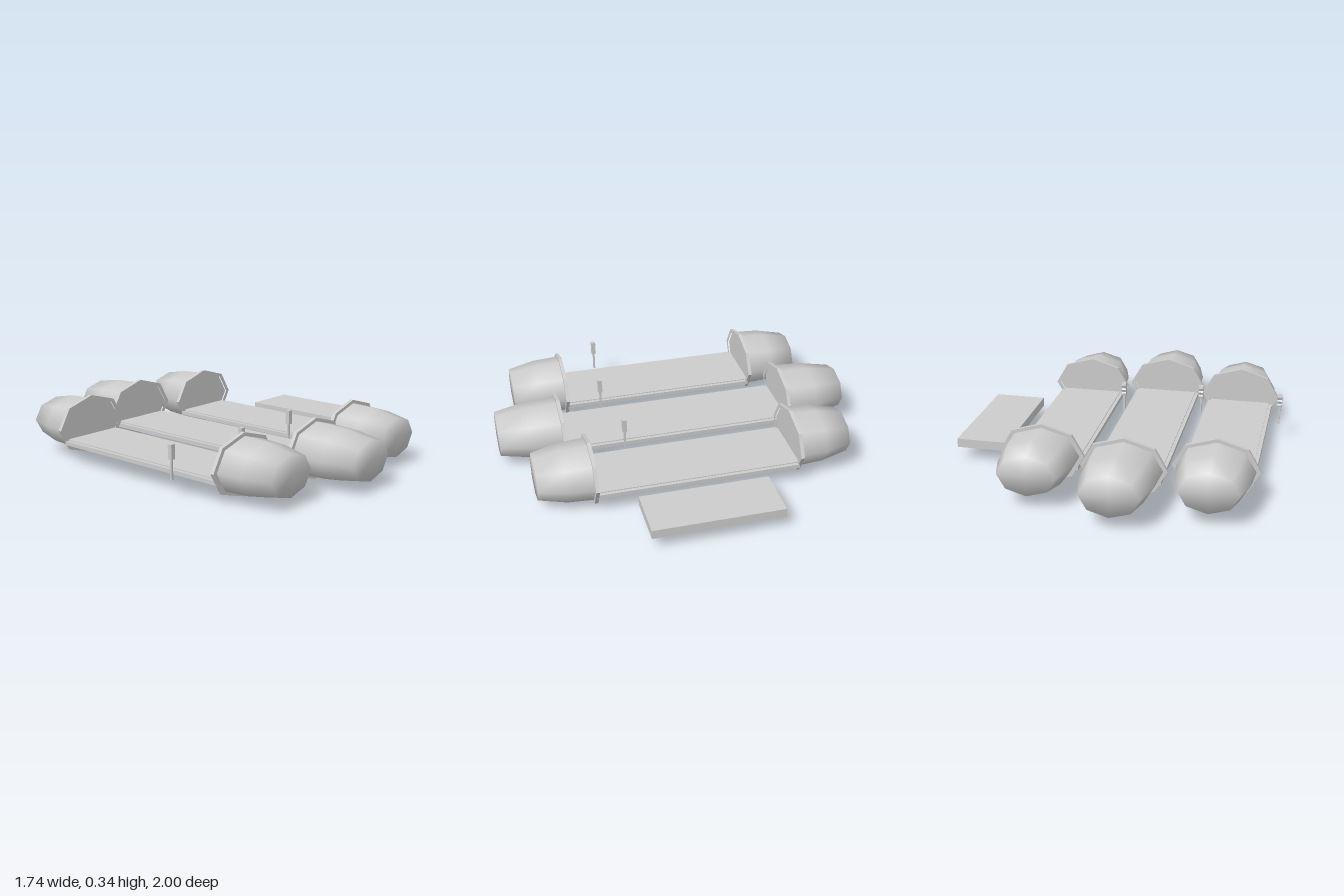
import * as THREE from 'three';

const grey = new THREE.MeshStandardMaterial({ color: 0xcccccc });
grey.name = 'plain grey';
const greyOpen = grey;

function add(parent, name, geometry, x = 0, y = 0, z = 0) {
  const mesh = new THREE.Mesh(geometry, grey);
  mesh.name = name;
  mesh.position.set(x, y, z);
  parent.add(mesh);
  return mesh;
}

function octagon(rx, ry, PathType) {
  const points = [];
  for (let i = 0; i < 8; i++) {
    const a = (i * Math.PI) / 4;
    points.push(new THREE.Vector2(Math.sin(a) * rx, Math.cos(a) * ry));
  }
  return new PathType(points);
}

// Domed end pod, opening at local z = 0 and pointing along +z
function makePod(length) {
  const pod = new THREE.Group();
  const profile = [[0.205, 0.012], [0.195, length * 0.52], [0.154, length], [0, length]]
    .map(([r, h]) => new THREE.Vector2(r, h));
  const shell = new THREE.LatheGeometry(profile, 8);
  shell.rotateX(Math.PI / 2);
  shell.scale(1, 0.71, 1);
  add(pod, 'podShell', shell);

  // Octagonal collar with a slightly recessed inner panel
  const ring = octagon(0.228, 0.164, THREE.Shape);
  ring.holes.push(octagon(0.203, 0.143, THREE.Path));
  add(pod, 'podCollar', new THREE.ExtrudeGeometry(ring, { depth: 0.02, bevelEnabled: false }));
  const panel = new THREE.ExtrudeGeometry(octagon(0.204, 0.144, THREE.Shape), { depth: 0.006, bevelEnabled: false });
  add(pod, 'podInnerPanel', panel, 0, 0, 0.009);
  return pod;
}

// Flat deck with stepped long edges and a pod at each end
function makeBay(halfLength, podLength) {
  const bay = new THREE.Group();
  const deckLength = halfLength * 2 + 0.018;
  add(bay, 'deck', new THREE.BoxGeometry(0.345, 0.032, deckLength), 0, 0.11, 0);
  add(bay, 'deckEdge', new THREE.BoxGeometry(0.385, 0.022, deckLength), 0, 0.11, 0);
  const front = makePod(podLength);
  front.name = 'frontPod';
  front.position.set(0, 0.166, halfLength);
  const back = makePod(podLength);
  back.name = 'backPod';
  back.rotation.y = Math.PI;
  back.position.set(0, 0.183, -halfLength);
  bay.add(front, back);
  return bay;
}

// Thin post with a small head notched on its back side
function makePost() {
  const post = new THREE.Group();
  add(post, 'postStem', new THREE.BoxGeometry(0.011, 0.12, 0.011), 0, 0.155, 0);
  const side = new THREE.Shape([
    [-0.013, 0.2], [0.010, 0.2], [0.013, 0.215], [0.006, 0.222], [0.013, 0.238],
    [0.006, 0.246], [0.013, 0.262], [0.010, 0.277], [-0.013, 0.277],
  ].map(([u, v]) => new THREE.Vector2(u, v)));
  const head = new THREE.ExtrudeGeometry(side, { depth: 0.026, bevelEnabled: false });
  head.translate(0, 0, -0.013);
  head.rotateY(Math.PI / 2);
  add(post, 'postHead', head);
  return post;
}

export function createModel() {
  const model = new THREE.Group();
  model.name = 'podBays';

  // Three parallel bays, the middle one longer
  [[-0.604, 0.55, 0.31], [-0.143, 0.64, 0.36], [0.314, 0.55, 0.31]].forEach(([x, half, pod], i) => {
    const bay = makeBay(half, pod);
    bay.name = ['rightBay', 'middleBay', 'leftBay'][i];
    bay.position.x = x;
    model.add(bay);
  });

  // Control posts beside each bay
  [[-0.856, 0.316], [-0.392, 0.365], [0.063, 0.316]].forEach(([x, z], i) => {
    const post = makePost();
    post.name = ['rightPost', 'middlePost', 'leftPost'][i];
    post.position.set(x, 0, z);
    model.add(post);
  });

  // Separate slab on the left
  add(model, 'sideSlab', new THREE.BoxGeometry(0.292, 0.05, 0.71), 0.72, 0.102, 0);
  return model;
}
